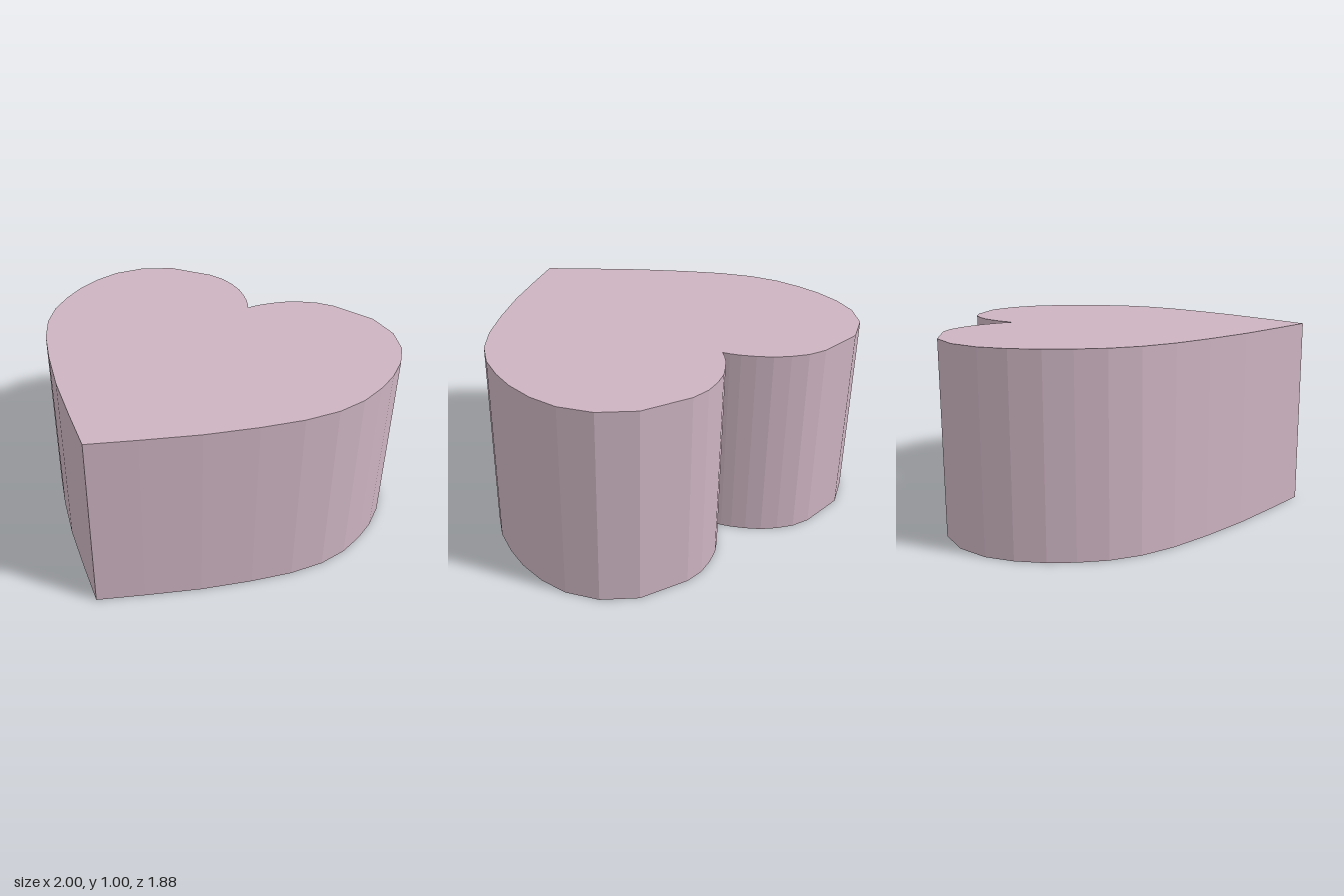
import * as THREE from 'three';

export function createModel() {
  const group = new THREE.Group();
  group.name = 'heart';

  // Left half of the outline as [x, z], from the front tip to the rear cleft
  const half = [
    [0, 0.94], [0.2, 0.78], [0.43, 0.59], [0.63, 0.40], [0.785, 0.235],
    [0.895, 0.08], [0.96, -0.07], [0.99, -0.22], [1, -0.36], [0.985, -0.515],
    [0.94, -0.66], [0.84, -0.80], [0.68, -0.905], [0.42, -0.943], [0.32, -0.93],
    [0.235, -0.895], [0.16, -0.85], [0.1, -0.795], [0.05, -0.74], [0.018, -0.695], [0, -0.66],
  ];

  // Mirror the half to close the outline
  const mirrored = half.slice(1, -1).reverse().map(([x, z]) => [-x, z]);
  const outline = [...half, ...mirrored].map(([x, z]) => new THREE.Vector2(x, -z));

  // Upright block with flat faces
  const geometry = new THREE.ExtrudeGeometry(new THREE.Shape(outline), { depth: 1, bevelEnabled: false });
  geometry.rotateX(-Math.PI / 2);

  const block = new THREE.Mesh(
    geometry,
    new THREE.MeshStandardMaterial({ color: 0xccb3c0, flatShading: true })
  );
  block.name = 'heartBlock';
  group.add(block);
  return group;
}
